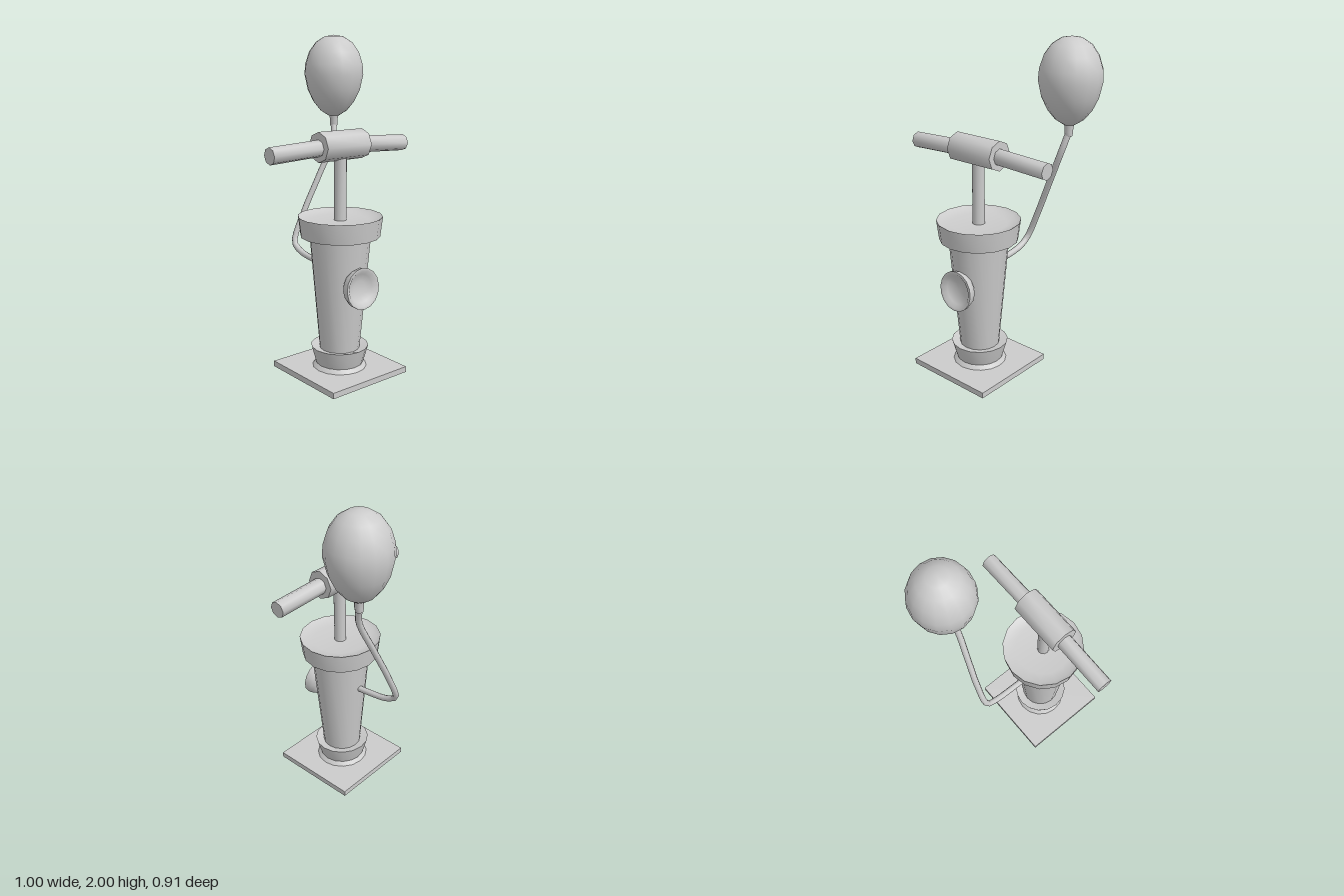
import * as THREE from 'three';
import { toCreasedNormals } from 'three/addons/utils/BufferGeometryUtils.js';

const material = new THREE.MeshStandardMaterial({ color: 0xcccccc });
const AXIS_Z = 0.17; // depth of the main column

export function createModel() {
  const model = new THREE.Group();

  const add = (name, geometry, x = 0, y = 0, z = 0) => {
    const mesh = new THREE.Mesh(toCreasedNormals(geometry, 0.85), material);
    mesh.name = name;
    mesh.position.set(x, y, z);
    model.add(mesh);
    return mesh;
  };
  // Profile points are [radius, height], listed from the bottom up
  const lathe = (points, sides = 16) =>
    new THREE.LatheGeometry(points.map(([r, y]) => new THREE.Vector2(r, y)), sides);

  // Square base plate
  add('basePlate', new THREE.BoxGeometry(0.57, 0.035, 0.57), 0, 0.0175, AXIS_Z);

  // Flared foot collar
  add('footCollar', lathe([
    [0.165, 0.033], [0.142, 0.058], [0.155, 0.1], [0.173, 0.165], [0.115, 0.15],
  ]), 0, 0, AXIS_Z);

  // Tapered body
  add('body', lathe([[0.115, 0.1], [0.122, 0.165], [0.182, 0.85]]), 0, 0, AXIS_Z);

  // Dished cap
  add('cap', lathe([
    [0.17, 0.84], [0.235, 0.84], [0.25, 0.96], [0.225, 0.945], [0.17, 0.935], [0, 0.935],
  ]), 0, 0, AXIS_Z);

  // Plunger rod
  add('rod', new THREE.CylinderGeometry(0.037, 0.037, 0.42, 12), 0, 1.12, AXIS_Z);

  // Handle hub and the two drooping grips
  const hub = new THREE.CylinderGeometry(0.0875, 0.0875, 0.325, 8);
  hub.rotateZ(Math.PI / 2);
  add('handleHub', hub, 0, 1.372, AXIS_Z);
  for (const side of [-1, 1]) {
    const grip = new THREE.CylinderGeometry(0.049, 0.049, 0.36, 8);
    grip.rotateZ(Math.PI / 2 - side * 0.045);
    add(side > 0 ? 'leftGrip' : 'rightGrip', grip, side * 0.318, 1.36, AXIS_Z);
  }

  // Gauge with a rim and a hollow face, tipped slightly upward
  const gauge = lathe([
    [0, -0.055], [0.09, -0.055], [0.108, -0.04], [0.12, -0.01], [0.122, 0.012],
    [0.106, 0.012], [0.085, -0.008], [0.045, -0.02], [0, -0.024],
  ]);
  gauge.rotateX(Math.PI / 2 - 0.1);
  add('gauge', gauge, 0, 0.563, 0.366);

  // Bent hose from the back of the body up to the balloon
  const path = new THREE.CatmullRomCurve3([
    [0, 0.628, 0.05], [0, 0.638, -0.06], [0, 0.663, -0.21], [0.004, 0.71, -0.28],
    [0.08, 0.89, -0.285], [0.185, 1.12, -0.26], [0.285, 1.34, -0.238], [0.31, 1.44, -0.262],
  ].map((p) => new THREE.Vector3(...p)), false, 'centripetal');
  add('hose', new THREE.TubeGeometry(path, 28, 0.019, 8));

  // Balloon and its neck
  add('balloonNeck', lathe([
    [0, 1.43], [0.022, 1.43], [0.026, 1.455], [0.026, 1.48], [0.034, 1.51],
  ], 10), 0.313, 0, -0.265);
  add('balloon', lathe([
    [0, 1.492], [0.035, 1.498], [0.085, 1.53], [0.13, 1.585], [0.166, 1.66], [0.187, 1.755],
    [0.182, 1.82], [0.158, 1.895], [0.115, 1.955], [0.06, 1.99], [0, 2],
  ]), 0.313, 0, -0.267);

  return model;
}
